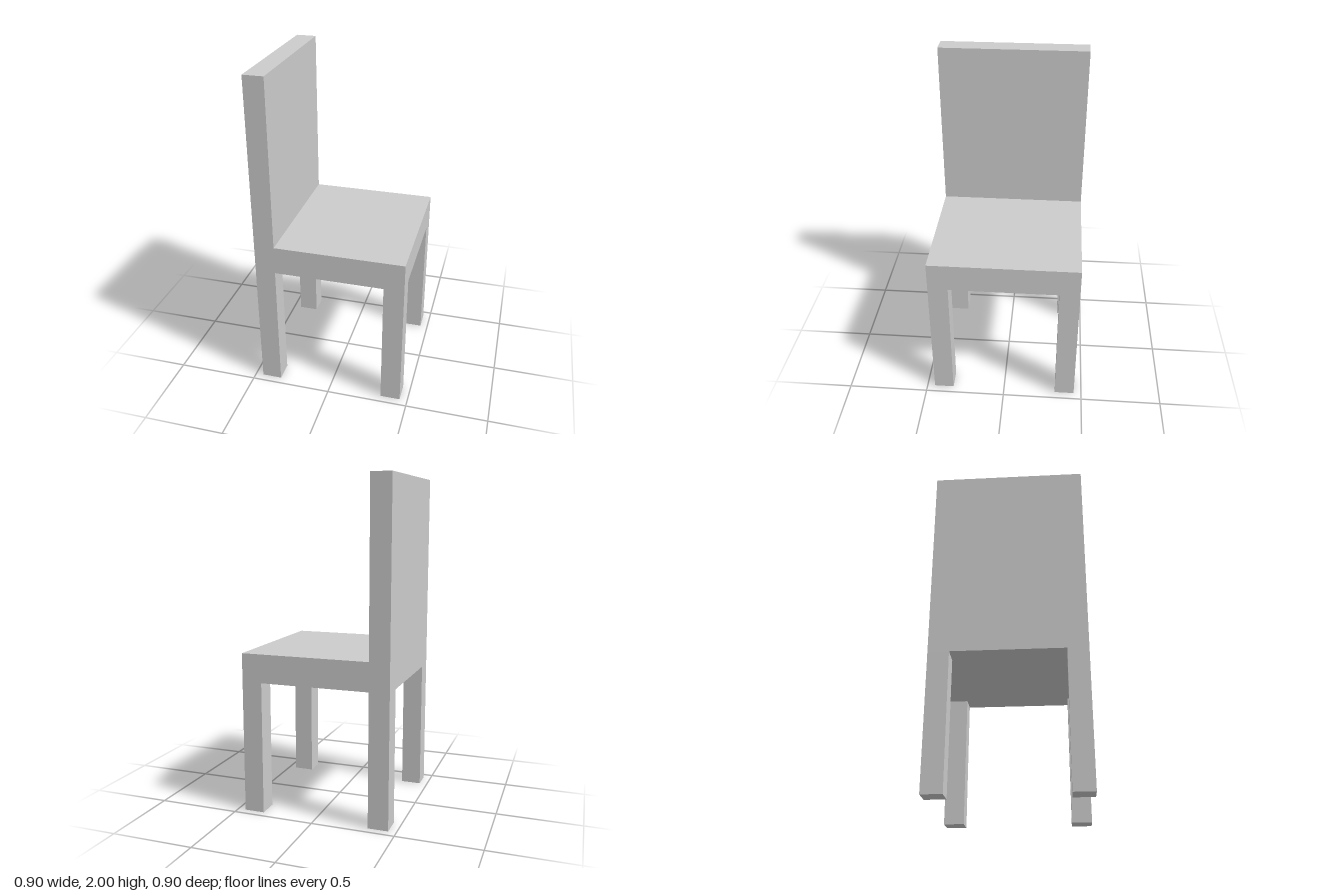
import * as THREE from 'three';

const HALF = 0.452;      // half the seat width and depth
const POST = 0.122;      // thickness of legs and backrest
const SEAT_BOTTOM = 0.803;
const SEAT_TOP = 0.975;
const TOP = 2;

export function createModel() {
  const chair = new THREE.Group();
  chair.name = 'chair';
  const material = new THREE.MeshStandardMaterial({ color: 0xcccccc, flatShading: true });

  // Box resting on height y0 and reaching y1
  const addBox = (name, width, depth, y0, y1, x, z) => {
    const mesh = new THREE.Mesh(new THREE.BoxGeometry(width, y1 - y0, depth), material);
    mesh.name = name;
    mesh.position.set(x, (y0 + y1) / 2, z);
    chair.add(mesh);
  };

  // Seat slab
  addBox('seat', 2 * HALF, 2 * HALF, SEAT_BOTTOM, SEAT_TOP, 0, 0);

  // Backrest panel rising from the -x edge of the seat
  const inset = HALF - POST / 2;
  addBox('backrest', POST, 2 * HALF, SEAT_TOP, TOP, -inset, 0);

  // Four square legs, flush with the seat corners
  for (const sx of [-1, 1]) {
    for (const sz of [-1, 1]) {
      const name = (sx < 0 ? 'backrestSide' : 'openSide') + (sz < 0 ? 'RearLeg' : 'FrontLeg');
      addBox(name, POST, POST, 0, SEAT_BOTTOM, sx * inset, sz * inset);
    }
  }

  return chair;
}
